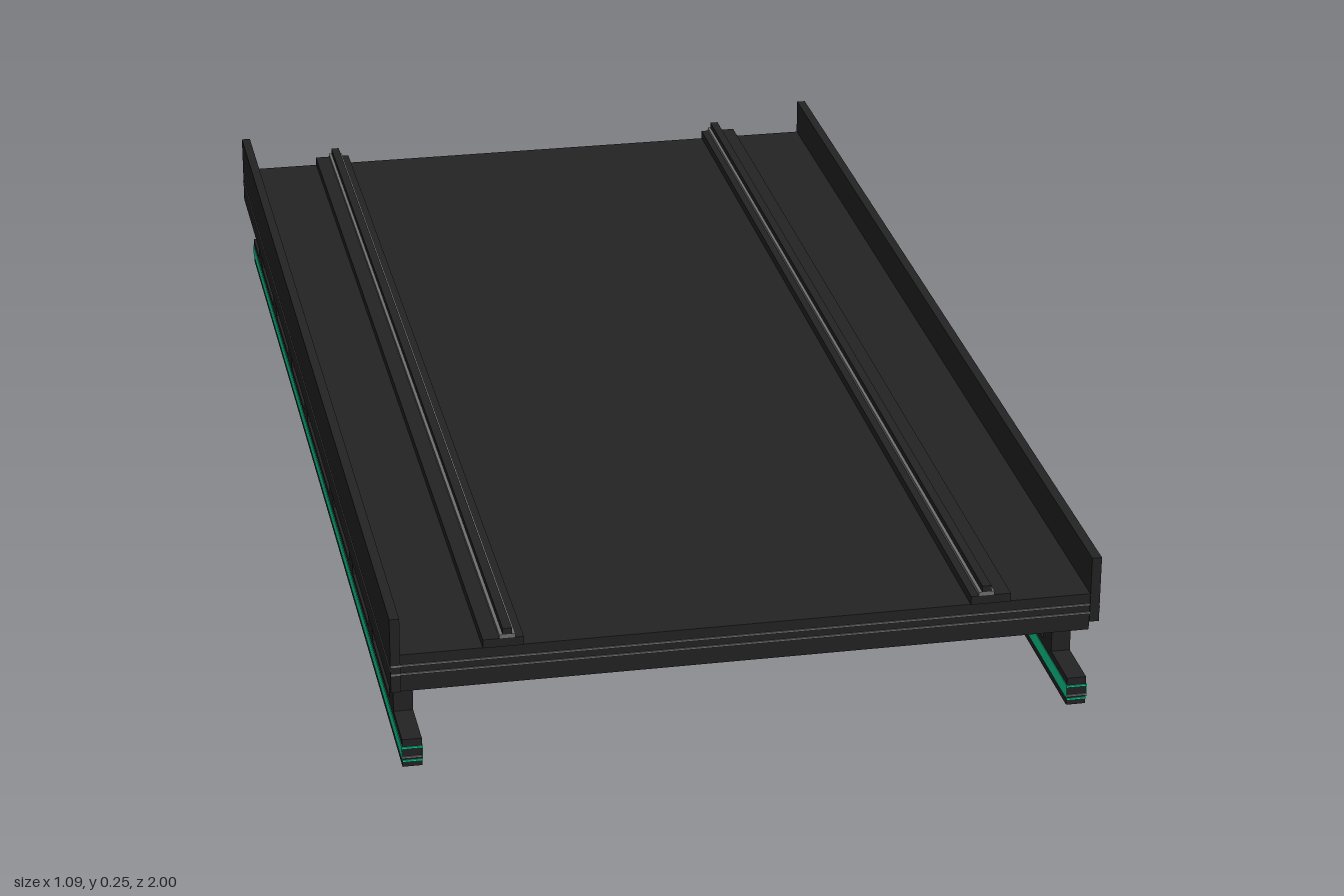
import * as THREE from 'three';

export function createModel() {
  const model = new THREE.Group();
  const mat = (name, color) => {
    const m = new THREE.MeshStandardMaterial({ color });
    m.name = name;
    return m;
  };
  const dark = mat('charcoal', 0x232323);
  const grey = mat('steel grey', 0x707070);
  const green = mat('signal green', 0x0fd397);

  // Box given by its limits on each axis
  const box = (name, material, [x0, x1], [y0, y1], [z0, z1] = [-1, 1], parent = model) => {
    const mesh = new THREE.Mesh(new THREE.BoxGeometry(x1 - x0, y1 - y0, z1 - z0), material);
    mesh.position.set((x0 + x1) / 2, (y0 + y1) / 2, (z0 + z1) / 2);
    mesh.name = name;
    parent.add(mesh);
  };

  // Deck slab with thin trim lines across both ends
  box('deck', dark, [-0.545, 0.53], [0.128, 0.189], [-0.998, 0.998]);
  for (const s of [-1, 1])
    for (const y of [0.157, 0.171])
      box('deckEndTrim', grey, [-0.545, 0.53], [y - 0.0015, y + 0.0015],
        s > 0 ? [0.998, 1] : [-1, -0.998]);

  // Side walls with a fine line along the outside
  box('leftWall', dark, [0.53, 0.545], [0.142, 0.25]);
  box('rightWall', dark, [-0.545, -0.53], [0.128, 0.25]);
  box('leftWallTrim', grey, [0.545, 0.546], [0.164, 0.167]);
  box('rightWallTrim', grey, [-0.546, -0.545], [0.164, 0.167]);

  // Rails: wide bed, grey foot and narrow head
  for (const [bed, head] of [[-0.375, -0.369], [0.373, 0.366]]) {
    const rail = new THREE.Group();
    rail.name = 'rail';
    model.add(rail);
    box('railBed', dark, [bed - 0.031, bed + 0.031], [0.189, 0.203], [-1, 1], rail);
    box('railFoot', grey, [head - 0.012, head + 0.012], [0.203, 0.209], [-1, 1], rail);
    box('railHead', dark, [head - 0.007, head + 0.007], [0.209, 0.219], [-1, 1], rail);
  }

  // Supports: posts standing on a long beam with glowing strips
  for (const s of [-1, 1]) {
    const support = new THREE.Group();
    support.name = s > 0 ? 'leftSupport' : 'rightSupport';
    model.add(support);
    const x = s * 0.515;
    box('beam', dark, [x - 0.015, x + 0.015], [0, 0.046], [-0.998, 0.998], support);
    for (const z of [0.885, 0.65, 0.417, 0.167, -0.177, -0.413, -0.647, -0.881])
      box('post', dark, [x - 0.015, x + 0.015], [0.046, 0.128], [z - 0.023, z + 0.023], support);
    for (const side of [-1, 1]) {
      const face = x + side * 0.0155;
      box('lightStrip', green, [face - 0.0005, face + 0.0005], [0.012, 0.034], [-1, 1], support);
      // Thin lines on the beam ends
      const ends = side > 0 ? [0.998, 1] : [-1, -0.998];
      for (const [y, m] of [[0.01, green], [0.016, grey], [0.032, green]])
        box('beamEndLine', m, [x - 0.015, x + 0.015], [y - 0.0015, y + 0.0015], ends, support);
    }
  }
  return model;
}
